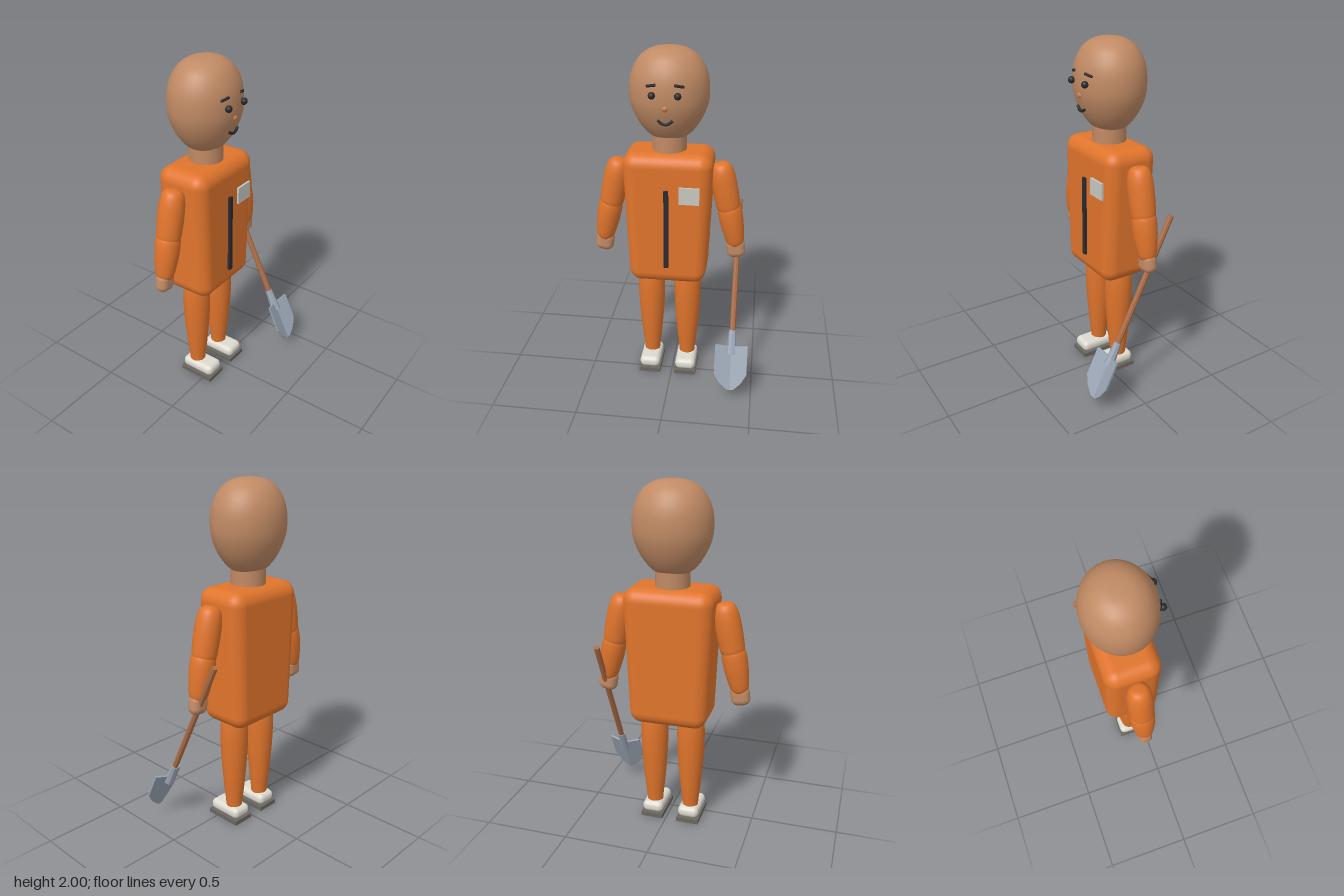
import * as THREE from 'three';
import { RoundedBoxGeometry } from 'three/addons/geometries/RoundedBoxGeometry.js';

export function createModel() {
  const mat = (name, color) => {
    const m = new THREE.MeshStandardMaterial({ color });
    m.name = name;
    return m;
  };
  const orange = mat('orange cloth', 0xe0742c);
  const skin = mat('skin', 0xc08a64);
  const nosePink = mat('nose tan', 0xc67f55);
  const dark = mat('charcoal', 0x2b2b2e);
  const white = mat('shoe white', 0xdddad0);
  const grey = mat('sole grey', 0x6a665f);
  const badgeGrey = mat('badge grey', 0xc8c8c2);
  const steel = mat('steel', 0x9aa5b4);
  const wood = mat('wood', 0xac6c45);

  const model = new THREE.Group();
  const body = new THREE.Group();
  body.name = 'person';
  body.position.set(-0.025, 0, -0.082);
  model.add(body);

  const add = (parent, name, geometry, material, x = 0, y = 0, z = 0) => {
    const mesh = new THREE.Mesh(geometry, material);
    mesh.name = name;
    mesh.position.set(x, y, z);
    parent.add(mesh);
    return mesh;
  };
  // smooth turned form through [radius, y] points, listed bottom to top
  const turned = (points, samples = 28, sides = 32) => {
    const curve = new THREE.SplineCurve(points.map(p => new THREE.Vector2(...p)));
    const profile = curve.getPoints(samples);
    profile.forEach(p => { p.x = Math.max(0, p.x); });
    return new THREE.LatheGeometry(profile, sides);
  };
  const flat = geometry => {
    const g = geometry.index ? geometry.toNonIndexed() : geometry;
    g.computeVertexNormals();
    return g;
  };

  // Head and neck
  const headGeo = turned([[0, 1.5], [0.06, 1.503], [0.11, 1.525], [0.152, 1.57], [0.188, 1.63],
    [0.213, 1.7], [0.219, 1.77], [0.212, 1.84], [0.19, 1.9], [0.152, 1.953], [0.1, 1.986],
    [0.05, 1.998], [0, 2]], 40);
  headGeo.scale(1, 1, 0.89);
  add(body, 'head', headGeo, skin);
  add(body, 'neck', new THREE.CylinderGeometry(0.096, 0.096, 0.13, 32), skin, 0, 1.475, 0);

  // Face
  add(body, 'nose', new THREE.SphereGeometry(0.018, 16, 12), nosePink, 0, 1.71, 0.182);
  const smile = new THREE.QuadraticBezierCurve3(
    new THREE.Vector3(-0.04, 1.645, 0.176),
    new THREE.Vector3(0, 1.603, 0.186),
    new THREE.Vector3(0.04, 1.645, 0.176));
  add(body, 'mouth', new THREE.TubeGeometry(smile, 16, 0.008, 8), dark);

  // Torso, narrower towards the hips
  const torsoGeo = new RoundedBoxGeometry(0.51, 0.79, 0.315, 6, 0.075);
  const pos = torsoGeo.attributes.position;
  for (let i = 0; i < pos.count; i++) {
    const t = (pos.getY(i) + 0.395) / 0.79;
    pos.setX(i, pos.getX(i) * (0.87 + 0.13 * t));
  }
  add(body, 'torso', torsoGeo, orange, 0, 1.04, 0);
  add(body, 'zip', new THREE.BoxGeometry(0.026, 0.475, 0.02), dark, 0, 1.003, 0.162);
  add(body, 'chestBadge', new THREE.BoxGeometry(0.114, 0.098, 0.016), badgeGrey, 0.129, 1.215, 0.162);

  // Limb segment hung between two points (x, y)
  const segment = (name, profile, bottom, top, s) => {
    const dx = top[0] - bottom[0], dy = top[1] - bottom[1], len = Math.hypot(dx, dy);
    const geo = turned(profile.map(([r, t]) => [r, t * len]));
    const mesh = add(body, name, geo, orange, s * bottom[0], bottom[1], 0);
    mesh.rotation.z = -s * Math.atan2(dx, dy);
  };
  const upperArm = [[0, 0], [0.045, 0.02], [0.066, 0.09], [0.071, 0.25], [0.073, 0.5],
    [0.07, 0.75], [0.058, 0.91], [0.035, 0.985], [0, 1]];
  const forearm = [[0, 0], [0.03, 0.015], [0.046, 0.07], [0.056, 0.2], [0.067, 0.5],
    [0.07, 0.75], [0.064, 0.91], [0.04, 0.985], [0, 1]];

  for (const s of [-1, 1]) {
    const side = s > 0 ? 'left' : 'right';

    // Eye and brow
    add(body, side + 'Eye', new THREE.SphereGeometry(0.019, 16, 12), dark, s * 0.068, 1.78, 0.197);
    const brow = add(body, side + 'Brow', new RoundedBoxGeometry(0.056, 0.015, 0.02, 3, 0.006),
      dark, s * 0.073, 1.828, 0.175);
    brow.rotation.set(0, s * 0.35, -s * 0.2);

    // Arm and hand
    segment(side + 'UpperArm', upperArm, [0.348, 1.065], [0.285, 1.365], s);
    segment(side + 'Forearm', forearm, [0.393, 0.85], [0.338, 1.125], s);
    const hand = add(body, side + 'Hand', new RoundedBoxGeometry(0.108, 0.115, 0.08, 5, 0.038),
      skin, s * 0.391, 0.838, 0);
    hand.rotation.z = s * 0.15;

    // Leg and shoe
    const leg = turned([[0, 0.07], [0.042, 0.08], [0.05, 0.13], [0.063, 0.25], [0.075, 0.4],
      [0.08, 0.53], [0.077, 0.63], [0.06, 0.69], [0, 0.71]]);
    add(body, side + 'Leg', leg, orange, s * 0.11, 0, 0);
    add(body, side + 'Shoe', new RoundedBoxGeometry(0.124, 0.068, 0.214, 5, 0.03),
      white, s * 0.11, 0.061, 0.033);
    add(body, side + 'Sole', new THREE.BoxGeometry(0.132, 0.026, 0.222), grey, s * 0.11, 0.013, 0.033);
  }

  // Shovel, leaning with its blade forward; its origin is the blade tip
  const shovel = new THREE.Group();
  shovel.name = 'shovel';
  shovel.position.set(0.375, 0.07, 0.265);
  shovel.rotation.x = -0.449;
  model.add(shovel);
  add(shovel, 'handle', flat(new THREE.CylinderGeometry(0.017, 0.017, 0.79, 8)), wood, 0, 0.732, 0);
  add(shovel, 'socket', flat(new THREE.CylinderGeometry(0.021, 0.03, 0.14, 8)), steel, 0, 0.283, 0);
  for (const s of [-1, 1]) {
    // Each half of the blade angles forward from the centre crease
    const outline = [[0, 0], [0.022, 0.003], [0.065, 0.045], [0.095, 0.1], [0.095, 0.268], [0, 0.258]];
    const shape = new THREE.Shape(outline.map(([x, y]) => new THREE.Vector2(s * x, y)));
    const half = new THREE.ExtrudeGeometry(shape, { depth: 0.012, bevelEnabled: false });
    const p = half.attributes.position;
    for (let i = 0; i < p.count; i++) p.setZ(i, p.getZ(i) + 0.3 * Math.abs(p.getX(i)));
    add(shovel, s > 0 ? 'bladeLeftHalf' : 'bladeRightHalf', flat(half), steel);
  }

  return model;
}
